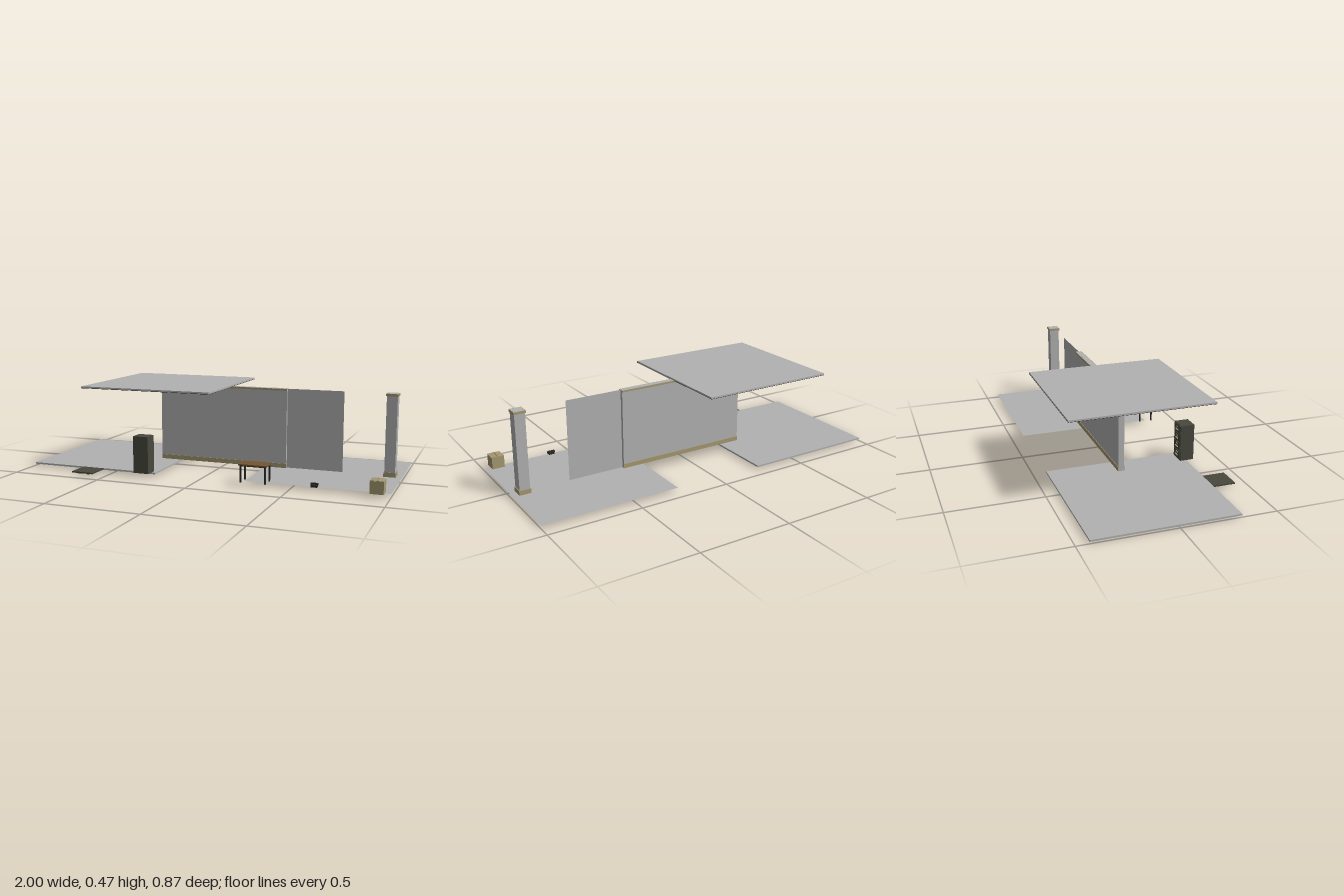
import * as THREE from 'three';

const mat = (name, color) => {
  const m = new THREE.MeshStandardMaterial({ color });
  m.name = name;
  return m;
};
const grey = mat('plaster grey', 0xb2b2b2);
const greySheet = mat('sheet grey', 0xb2b2b2);
greySheet.side = THREE.DoubleSide;
const beige = mat('beige trim', 0xa59870);
const olive = mat('dark olive metal', 0x48483e);
const black = mat('near black', 0x2a2a26);
const wood = mat('brown wood', 0x755632);
const tape = mat('tape brown', 0x7d6c45);
const cream = mat('label cream', 0xb5ab88);

// Box given by its minimum and maximum corners
function box(parent, name, material, x0, x1, y0, y1, z0, z1) {
  const m = new THREE.Mesh(new THREE.BoxGeometry(x1 - x0, y1 - y0, z1 - z0), material);
  m.position.set((x0 + x1) / 2, (y0 + y1) / 2, (z0 + z1) / 2);
  m.name = name;
  parent.add(m);
  return m;
}

function part(parent, name) {
  const g = new THREE.Group();
  g.name = name;
  parent.add(g);
  return g;
}

const Y = 0.018; // floor level

export function createModel() {
  const root = new THREE.Group();
  root.name = 'officeKit';

  // Thick floor slab and thin floor sheet
  box(root, 'floorSlab', grey, -1, -0.254, 0.009, Y, -0.433, 0.314);
  const sheet = new THREE.Mesh(new THREE.PlaneGeometry(0.746, 0.747), greySheet);
  sheet.rotation.x = -Math.PI / 2;
  sheet.position.set(0.627, Y, -0.0595);
  sheet.name = 'floorSheet';
  root.add(sheet);

  // Ceiling slab with a tile grid underneath
  const ceiling = part(root, 'ceiling');
  box(ceiling, 'ceilingSlab', grey, -0.69, 0.057, 0.456, 0.465, -0.433, 0.314);
  const n = 6, step = 0.747 / n, w = 0.003;
  for (let i = 0; i <= n; i++) {
    const x = Math.min(Math.max(-0.69 + i * step, -0.69 + w), 0.057 - w);
    const z = Math.min(Math.max(-0.433 + i * step, -0.433 + w), 0.314 - w);
    box(ceiling, 'gridBarZ', black, x - w, x + w, 0.4545, 0.4562, -0.433, 0.314);
    box(ceiling, 'gridBarX', black, -0.69, 0.057, 0.4543, 0.4562, z - w, z + w);
  }

  // Thick wall with base and crown trims on both sides
  const wall = part(root, 'trimmedWall');
  box(wall, 'wallBody', grey, -0.375, 0.37, Y, 0.4555, -0.077, -0.046);
  for (const [z0, z1] of [[-0.046, -0.043], [-0.08, -0.077]]) {
    box(wall, 'baseboard', beige, -0.375, 0.37, Y, 0.042, z0, z1);
    box(wall, 'crown', beige, -0.375, 0.37, 0.445, 0.455, z0, z1);
  }

  // Plain wall sheet
  const plain = new THREE.Mesh(new THREE.PlaneGeometry(0.746, 0.437), greySheet);
  plain.position.set(0.308, Y + 0.2185, -0.06);
  plain.name = 'plainWall';
  root.add(plain);

  // Square pillar
  const pillar = part(root, 'pillar');
  box(pillar, 'shaft', grey, 0.908, 0.964, Y, 0.457, -0.088, -0.032);
  box(pillar, 'pillarBase', beige, 0.904, 0.968, Y, 0.042, -0.092, -0.028);
  box(pillar, 'pillarCap', beige, 0.904, 0.968, 0.444, 0.4565, -0.092, -0.028);

  // Filing cabinet, drawers facing the back
  const cabinet = part(root, 'filingCabinet');
  box(cabinet, 'cabinetBody', olive, -0.36, -0.274, Y, 0.217, 0.28, 0.355);
  for (let i = 0; i < 4; i++) {
    const y = Y + 0.006 + i * 0.0482;
    box(cabinet, 'drawer', olive, -0.355, -0.279, y, y + 0.044, 0.2765, 0.281);
    box(cabinet, 'drawerLabel', cream, -0.327, -0.307, y + 0.028, y + 0.037, 0.2755, 0.277);
    box(cabinet, 'drawerHandle', cream, -0.332, -0.302, y + 0.015, y + 0.02, 0.272, 0.277);
  }

  // Desk with four thin legs
  const desk = part(root, 'desk');
  box(desk, 'deskTop', wood, 0.235, 0.386, 0.108, 0.115, 0.27, 0.362);
  box(desk, 'deskFrame', black, 0.241, 0.38, 0.103, 0.108, 0.276, 0.356);
  for (const x of [0.241, 0.372])
    for (const z of [0.276, 0.348])
      box(desk, 'deskLeg', black, x, x + 0.008, Y, 0.104, z, z + 0.008);

  // Small telephone
  const phone = part(root, 'telephone');
  box(phone, 'phoneBody', black, 0.604, 0.636, Y, 0.03, 0.3, 0.325);
  box(phone, 'handset', black, 0.6, 0.64, 0.032, 0.038, 0.303, 0.312);
  for (const x of [0.6, 0.63]) box(phone, 'handsetEnd', black, x, x + 0.01, 0.028, 0.036, 0.302, 0.313);

  // Cardboard box with two lid flaps and a seam
  const carton = part(root, 'carton');
  box(carton, 'cartonBody', beige, 0.901, 0.969, Y, 0.082, 0.281, 0.35);
  box(carton, 'seam', tape, 0.933, 0.937, 0.08, 0.0828, 0.281, 0.3505);
  for (const s of [-1, 1]) {
    const flap = box(carton, 'flap', beige, 0, 0.033, 0, 0.002, 0.281, 0.35);
    flap.position.set(0.935 + s * 0.018, 0.0835, 0.3155);
    flap.rotation.z = -s * 0.06;
  }

  // Light panel lying face down on its two tubes
  const light = part(root, 'lightPanel');
  box(light, 'panelBody', olive, -0.69, -0.566, 0.01, 0.0177, 0.2, 0.435);
  for (const x of [-0.656, -0.6]) {
    const tube = new THREE.Mesh(new THREE.CylinderGeometry(0.005, 0.005, 0.21, 10), cream);
    tube.rotation.x = Math.PI / 2;
    tube.position.set(x, 0.005, 0.317);
    tube.name = 'lightTube';
    light.add(tube);
  }
  return root;
}
